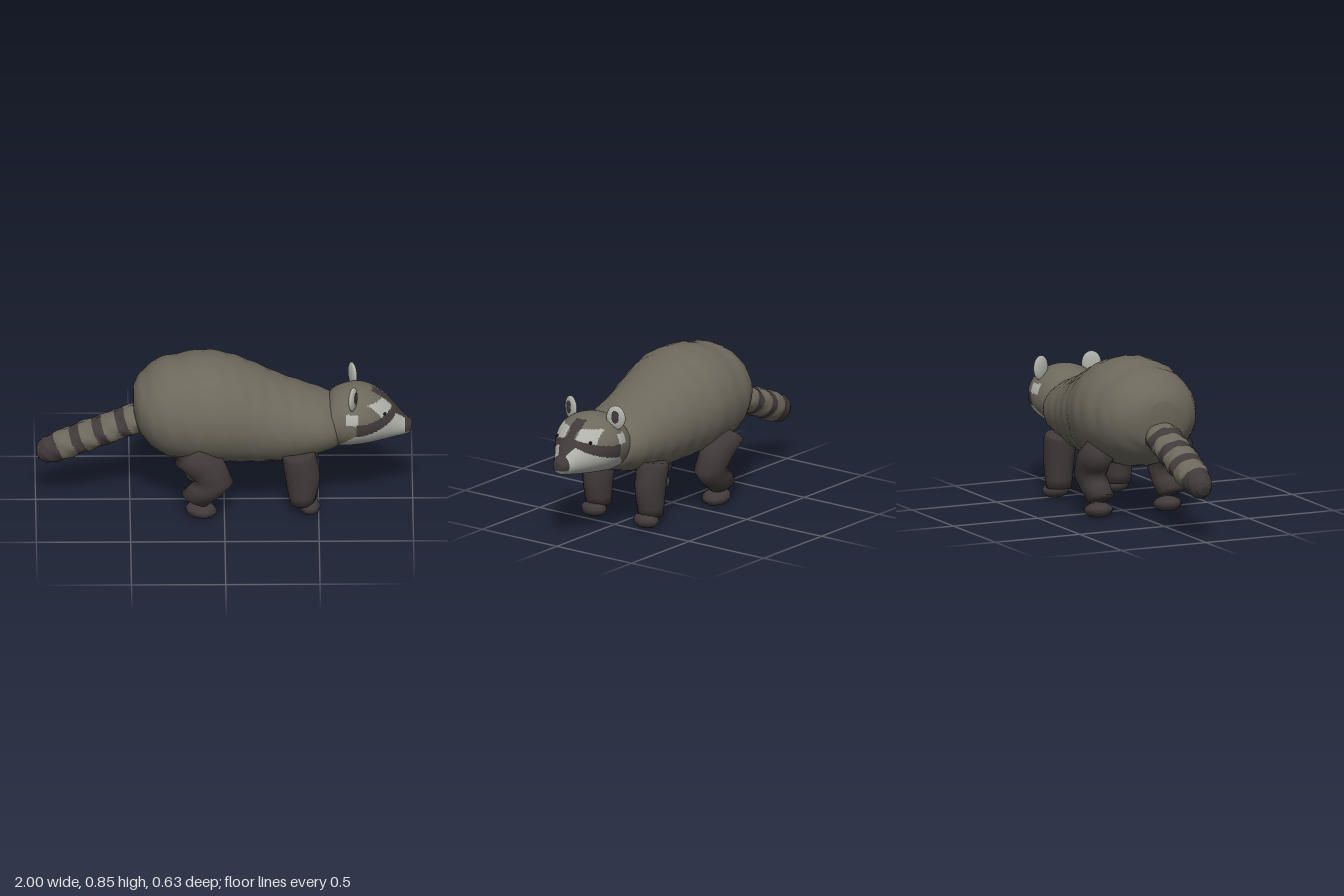
import * as THREE from 'three';

const mat = (name, color) => {
  const m = new THREE.MeshStandardMaterial({ color });
  m.name = name;
  return m;
};
const fur = mat('greyBrownFur', 0x6d685c);
const dark = mat('darkFur', 0x423a3a);
const pale = mat('paleFur', 0xb0b2aa);
const black = mat('eyeBlack', 0x1c1818);

// Smoothly resample rings [x, y, z, halfInPlane, halfZ, angleDegrees]
function smooth(rings, n) {
  const a = new THREE.CatmullRomCurve3(rings.map(r => new THREE.Vector3(r[0], r[1], r[2])), false, 'catmullrom', 0.5);
  const b = new THREE.CatmullRomCurve3(rings.map(r => new THREE.Vector3(r[3], r[4], r[5])), false, 'catmullrom', 0.5);
  return Array.from({ length: n + 1 }, (_, i) => [...a.getPoint(i / n).toArray(), ...b.getPoint(i / n).toArray()]);
}

// Closed skin over elliptical rings; paint(x, y, z) picks a material index per face
function loft(name, rings, sides, materials, paint = () => 0, bump = () => 0) {
  const pos = [], faces = materials.map(() => []);
  rings.forEach(([x, y, z, a, b, deg], i) => {
    const ang = THREE.MathUtils.degToRad(deg);
    for (let j = 0; j < sides; j++) {
      const t = (j / sides) * Math.PI * 2, k = 1 + bump(i, j);
      const u = a * k * Math.cos(t);
      pos.push(x + u * Math.cos(ang), y + u * Math.sin(ang), z + b * k * Math.sin(t));
    }
  });
  const last = rings.length - 1, start = pos.length / 3;
  pos.push(...rings[0].slice(0, 3), ...rings[last].slice(0, 3));
  const face = (...v) => {
    const mid = k => (pos[v[0] * 3 + k] + pos[v[1] * 3 + k] + pos[v[2] * 3 + k]) / 3;
    faces[paint(mid(0), mid(1), mid(2))].push(...v);
  };
  for (let j = 0; j < sides; j++) {
    const k = (j + 1) % sides;
    face(start, k, j);
    face(start + 1, last * sides + j, last * sides + k);
    for (let i = 0; i < last; i++) {
      const p = i * sides, q = p + sides;
      face(p + j, p + k, q + k);
      face(p + j, q + k, q + j);
    }
  }
  const g = new THREE.BufferGeometry();
  g.setAttribute('position', new THREE.Float32BufferAttribute(pos, 3));
  g.setIndex(faces.flat());
  let from = 0;
  faces.forEach((f, i) => { g.addGroup(from, f.length, i); from += f.length; });
  g.computeVertexNormals();
  const mesh = new THREE.Mesh(g, materials.length > 1 ? materials : materials[0]);
  mesh.name = name;
  return mesh;
}

// Ring from x, bottom, top and half width, standing upright
const upright = ([x, lo, hi, w]) => [x, (lo + hi) / 2, 0, (hi - lo) / 2, w, 90];

function ellipsoid(name, material, size, position, rotation = [0, 0, 0], seg = 16) {
  const m = new THREE.Mesh(new THREE.SphereGeometry(1, seg, Math.round(seg * 0.7)), material);
  m.name = name;
  m.scale.set(...size);
  m.position.set(...position);
  m.rotation.set(...rotation);
  return m;
}

// Face markings: 0 fur, 1 dark, 2 pale
function facePaint(x, y, z) {
  const w = Math.abs(z);
  const lo = Math.min(0.535 - 0.55 * Math.max(0, w - 0.06), 0.46 + 1.5 * w);
  const hi = 0.582 - 0.25 * w;
  if (x > 0.96 && y > 0.42) return 1;                                     // nose
  if (x > 0.78 && y > 0.46 && y < 0.657 && w < (y > 0.61 ? 0.035 : 0.026)) return 1; // forehead stripe
  if (x > 0.7 && y > lo && y < hi) return 1;                              // eye mask
  if (x > 0.73 && y >= hi && y < 0.622 && w > 0.036 && w < 0.135) return 2; // brow
  if (x > 0.645 && x < 0.71 && y > 0.53 && y < 0.585 && w > 0.14) return 2; // temple
  if (y <= lo && y < 0.36 + 0.92 * (x - 0.58)) return 2;                  // muzzle and chin
  return 0;
}

export function createModel() {
  const model = new THREE.Group();
  model.name = 'raccoon';

  // Body, with soft folds in the coat
  const body = [
    [-0.482, 0.55, 0.67, 0.07], [-0.46, 0.45, 0.715, 0.15], [-0.42, 0.39, 0.755, 0.21],
    [-0.35, 0.325, 0.81, 0.262], [-0.25, 0.285, 0.832, 0.292], [-0.12, 0.27, 0.853, 0.312],
    [0, 0.265, 0.838, 0.308], [0.1, 0.26, 0.808, 0.285], [0.2, 0.26, 0.762, 0.268],
    [0.3, 0.265, 0.715, 0.25], [0.4, 0.28, 0.677, 0.237], [0.5, 0.305, 0.64, 0.222],
    [0.58, 0.33, 0.605, 0.185], [0.62, 0.35, 0.56, 0.13]].map(upright);
  model.add(loft('body', smooth(body, 52), 28, [fur], undefined,
    (i, j) => 0.009 * Math.sin(i * 1.45 + Math.sin(j * 1.3)) + 0.005 * Math.sin(j * 2.7)));

  // Head
  const head = [
    [0.545, 0.41, 0.58, 0.12], [0.565, 0.37, 0.625, 0.16], [0.6, 0.347, 0.653, 0.176],
    [0.65, 0.345, 0.67, 0.19], [0.7, 0.352, 0.676, 0.197], [0.75, 0.358, 0.67, 0.19],
    [0.8, 0.365, 0.65, 0.166], [0.85, 0.372, 0.615, 0.131], [0.9, 0.38, 0.567, 0.092],
    [0.95, 0.389, 0.508, 0.058], [0.98, 0.4, 0.48, 0.043], [0.997, 0.42, 0.465, 0.024]].map(upright);
  model.add(loft('head', smooth(head, 88), 96, [fur, dark, pale], facePaint));

  // Ringed tail, from tip to root
  const tail = [
    [-0.99, 0.277, 0, 0.025, 0.025, 110], [-0.965, 0.287, 0, 0.06, 0.05, 110],
    [-0.9, 0.312, 0, 0.077, 0.074, 110], [-0.8, 0.353, 0, 0.077, 0.094, 110],
    [-0.7, 0.396, 0, 0.077, 0.096, 110], [-0.6, 0.433, 0, 0.076, 0.099, 110],
    [-0.5, 0.475, 0, 0.076, 0.1, 110], [-0.42, 0.505, 0, 0.07, 0.09, 110]];
  const rings = [-0.53, -0.65, -0.77];
  model.add(loft('tail', smooth(tail, 70), 32, [fur, dark], (x, y) => {
    const c = x + 0.36 * (y - (0.353 + 0.4 * (x + 0.8))) * 1.1; // straighten the slanted section
    return c < -0.875 || rings.some(r => Math.abs(c - r) < 0.025) ? 1 : 0;
  }, (i, j) => 0.05 * Math.sin(i * 0.72) * Math.cos(j * 0.9) + 0.025 * Math.sin(i * 0.55)));

  for (const s of [1, -1]) {
    const side = s > 0 ? 'left' : 'right';

    // Front leg and paw
    model.add(loft(side + 'FrontLeg', smooth([
      [0.393, 0.362, s * 0.175, 0.083, 0.077, 8], [0.397, 0.335, s * 0.175, 0.091, 0.086, 6],
      [0.416, 0.21, s * 0.175, 0.092, 0.08, 0], [0.412, 0.07, s * 0.175, 0.067, 0.068, 0]], 9), 12, [dark]));
    model.add(ellipsoid(side + 'FrontPaw', dark, [0.058, 0.042, 0.077], [0.452, 0.05, s * 0.175], [0, 0, -0.1], 10));

    // Hind leg with bent knee, and paw
    model.add(loft(side + 'HindLeg', [
      [-0.195, 0.383, s * 0.228, 0.087, 0.087, 37], [-0.1, 0.31, s * 0.225, 0.105, 0.087, 29],
      [-0.05, 0.222, s * 0.218, 0.1, 0.083, -4], [-0.1, 0.165, s * 0.212, 0.088, 0.078, -20],
      [-0.16, 0.112, s * 0.208, 0.077, 0.072, -27]], 12, [dark]));
    model.add(ellipsoid(side + 'HindPaw', dark, [0.086, 0.042, 0.077], [-0.123, 0.045, s * 0.203], [0, 0, -0.12], 10));

    // Ear with dark inside
    const ear = new THREE.Group();
    ear.name = side + 'Ear';
    ear.position.set(0.682, 0.667, s * 0.15);
    ear.rotation.y = -0.35 * s;
    ear.add(ellipsoid('earShell', pale, [0.018, 0.067, 0.053], [0, 0, 0]));
    ear.add(ellipsoid('earInside', dark, [0.005, 0.035, 0.021], [0.0165, 0.008, 0]));
    model.add(ear);

    model.add(ellipsoid(side + 'Eye', black, [0.008, 0.009, 0.008], [0.851, 0.56, s * 0.11]));
  }
  return model;
}
